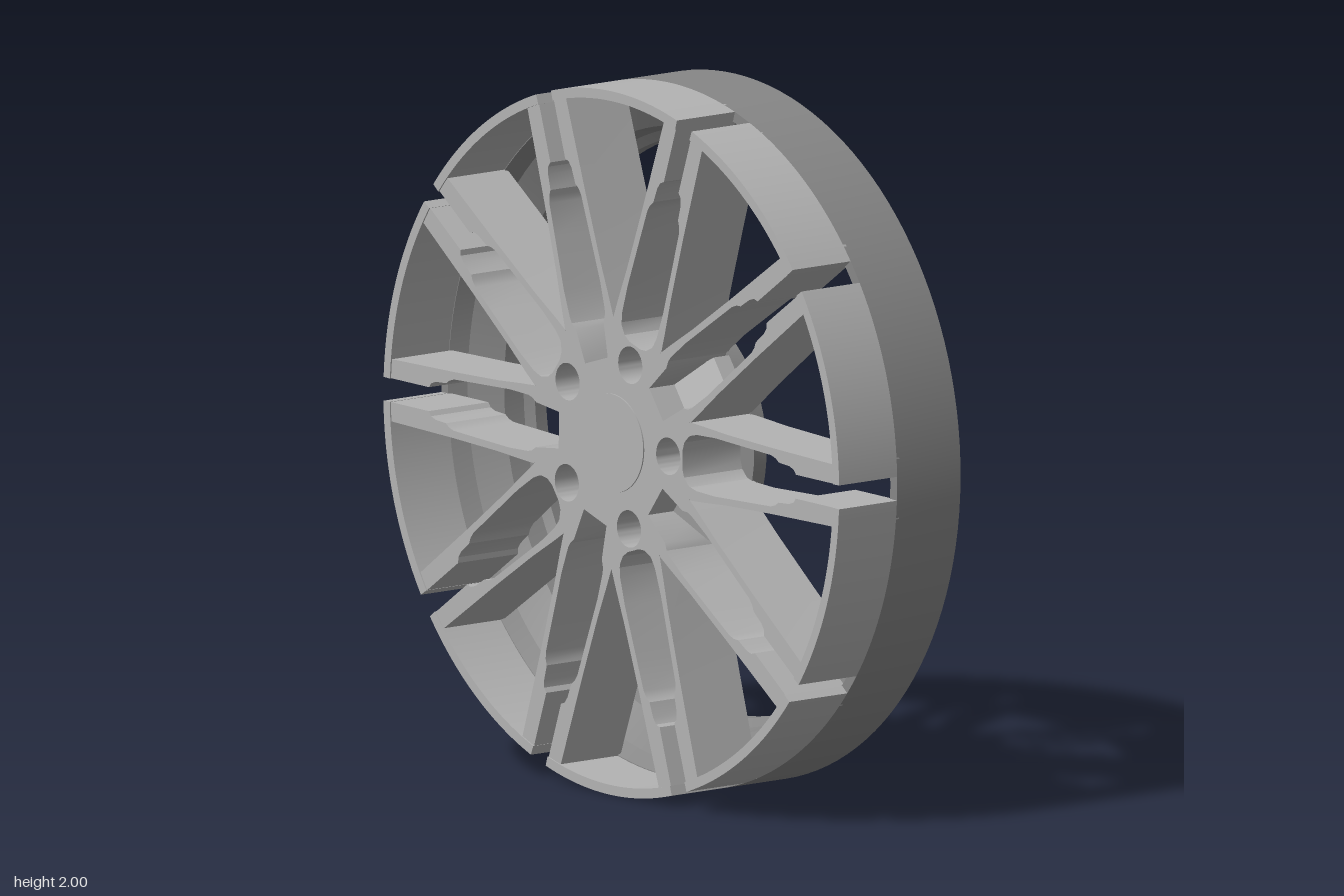
import * as THREE from 'three';
import { toCreasedNormals } from 'three/addons/utils/BufferGeometryUtils.js';

const FRONT = 0.216, MID = 0.01, BACK = -0.22;
const STEP = Math.PI / 5;      // ten spoke pairs
const TILT = -0.012;           // small roll of the whole wheel

export function createModel() {
  const wheel = new THREE.Group();
  wheel.name = 'wheel';
  const alloy = new THREE.MeshStandardMaterial({ color: 0xb3b3b3 });
  const dark = new THREE.MeshStandardMaterial({ color: 0x878787 });

  const add = (name, geo, parent, mat = alloy) => {
    const mesh = new THREE.Mesh(toCreasedNormals(geo, 0.45), mat);
    mesh.name = name;
    parent.add(mesh);
  };
  const extrude = (shape, z0, z1) =>
    new THREE.ExtrudeGeometry(shape, { depth: z1 - z0, bevelEnabled: false, curveSegments: 24 }).translate(0, 0, z0);
  const polygon = (pts) => new THREE.Shape(pts.map(([x, y]) => new THREE.Vector2(x, y)));
  const disc = (r, z0, z1, sides = 64) =>
    new THREE.CylinderGeometry(r, r, z1 - z0, sides).rotateX(Math.PI / 2).translate(0, 0, (z0 + z1) / 2);
  const turn = ([x, y], a) => [x * Math.cos(a) - y * Math.sin(a), x * Math.sin(a) + y * Math.cos(a)];

  // Rear barrel, hollowed in steps towards the front
  const barrel = [
    [0.82, BACK], [1, BACK], [1, MID], [0.97, MID], [0.945, -0.04],
    [0.9, -0.07], [0.857, -0.1], [0.845, -0.16], [0.82, -0.18], [0.82, BACK],
  ].map(([r, z]) => new THREE.Vector2(r, z));
  add('rimBarrel', new THREE.LatheGeometry(barrel, 128).rotateX(Math.PI / 2), wheel, dark);

  // Hub outline: each sector is either a bolt scallop or an open pocket
  const boltEdge = [
    [0.36, -0.098], [0.36, -0.08], [0.335, -0.07], [0.315, -0.05], [0.307, -0.025],
    [0.307, 0.025], [0.315, 0.05], [0.335, 0.07], [0.36, 0.08], [0.36, 0.098],
  ];
  const pocketEdge = [
    [0.36, -0.098], [0.36, -0.08], [0.335, -0.064], [0.235, -0.052],
    [0.235, 0.052], [0.335, 0.064], [0.36, 0.08], [0.36, 0.098],
  ];
  const outline = [];
  for (let i = 0; i < 10; i++) {
    for (const p of i % 2 ? pocketEdge : boltEdge) outline.push(turn(p, i * STEP));
    outline.push(turn([0.355, 0], (i + 0.5) * STEP));
  }
  const hub = polygon(outline);
  for (let i = 0; i < 10; i += 2) {
    const [x, y] = turn([0.245, 0], i * STEP);
    hub.holes.push(new THREE.Path().absarc(x, y, 0.053, 0, Math.PI * 2, true));
  }
  add('hubPlate', extrude(hub, 0, FRONT), wheel);
  add('hubBackDisc', disc(0.367, -0.04, 0.005), wheel, dark);
  add('centreCap', disc(0.14, 0.15, 0.22), wheel);

  // One bar of a spoke pair: thin along the window, thicker near the rim
  const bar = polygon([
    [0.33, 0.07], [0.37, 0.08], [0.45, 0.083], [0.6, 0.077], [0.695, 0.073],
    [0.715, 0.067], [0.73, 0.057], [0.775, 0.054], [0.795, 0.047], [0.805, 0.034],
    [0.999, 0.034], [0.996, 0.088], [0.7, 0.094], [0.5, 0.101], [0.4, 0.108], [0.34, 0.111],
  ]);
  const mirrored = polygon(bar.getPoints().map((p) => [p.x, -p.y]));

  // Rim lip between two neighbouring slots
  const slot = Math.asin(0.034);
  const lip = new THREE.Shape();
  lip.absarc(0, 0, 1, slot, STEP - slot, false);
  lip.absarc(0, 0, 0.972, STEP - slot, slot, true);

  // Sloping pocket floor, drawn as radius against depth
  const ramp = new THREE.ExtrudeGeometry(
    polygon([[0.225, 0], [0.36, 0], [0.36, 0.06], [0.225, 0.13]]), { depth: 0.13, bevelEnabled: false },
  ).rotateX(Math.PI / 2).translate(0, 0.065, 0);

  for (let i = 0; i < 10; i++) {
    const sector = new THREE.Group();
    sector.name = 'spokePair';
    sector.rotation.z = i * STEP;
    wheel.add(sector);
    add('spokeBar', extrude(bar, 0, FRONT), sector);
    add('spokeBar', extrude(mirrored, 0, FRONT), sector);
    add('rimLip', extrude(lip, MID, 0.22), sector);
    if (i % 2) {
      add('pocketFloor', ramp, sector);
    } else {
      // Sunken bolt: seat, hexagonal nut and stud ring
      add('boltSeat', disc(0.054, 0, 0.06, 24).translate(0.245, 0, 0), sector, dark);
      add('boltNut', disc(0.038, 0.06, 0.115, 6).translate(0.245, 0, 0), sector, dark);
      add('boltRing', new THREE.TorusGeometry(0.021, 0.006, 8, 20).translate(0.245, 0, 0.115), sector, dark);
    }
  }

  wheel.rotation.z = TILT;
  wheel.position.y = 1;
  const model = new THREE.Group();
  model.name = 'wheelModel';
  model.add(wheel);
  return model;
}
